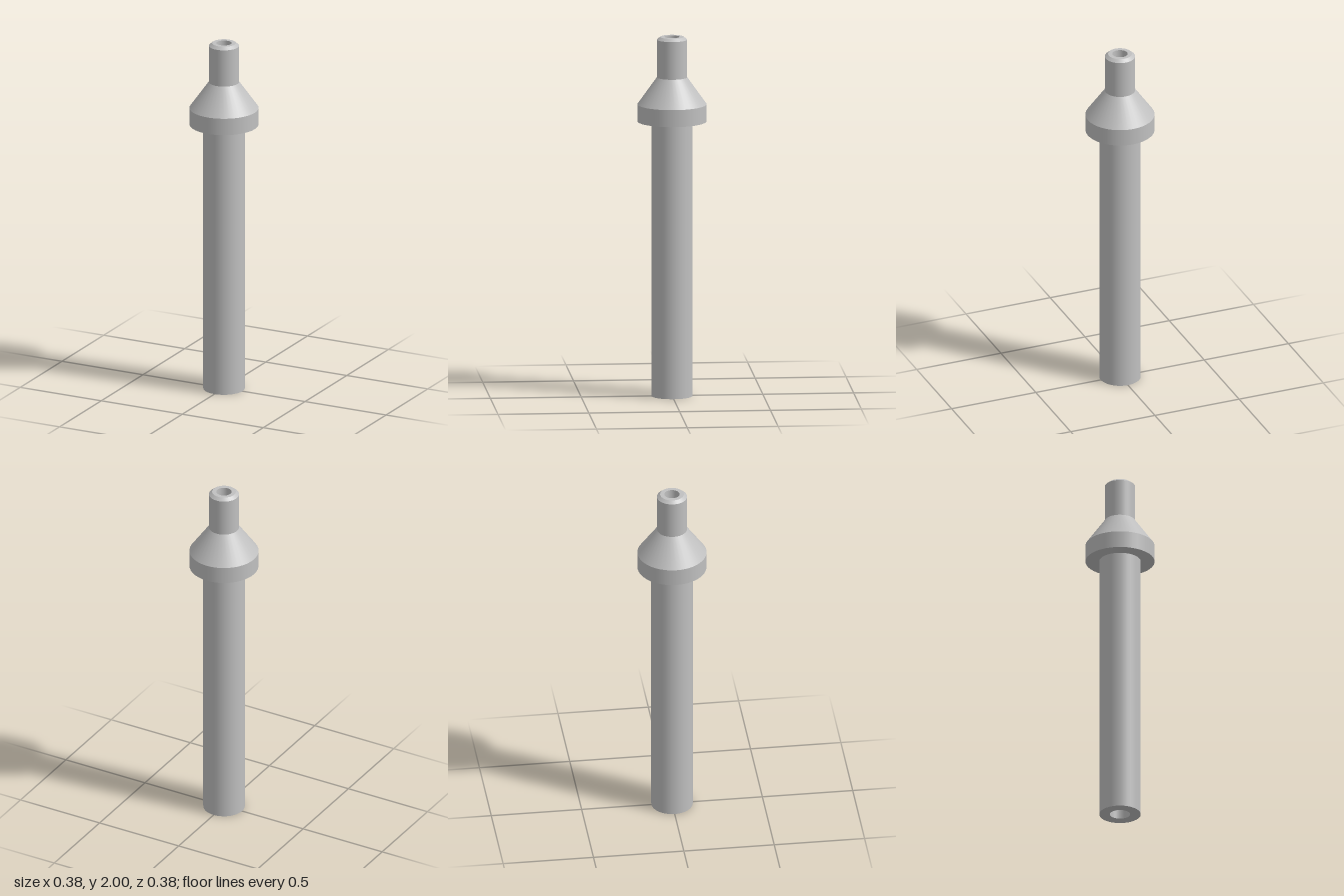
import * as THREE from 'three';
import { mergeGeometries } from 'three/addons/utils/BufferGeometryUtils.js';

const SEGMENTS = 40;

// Turned surface with crisp edges: each pair of profile points is its own band.
function turned(profile) {
  const bands = [];
  for (let i = 0; i < profile.length - 1; i++) {
    const ends = [profile[i], profile[i + 1]].map(([r, y]) => new THREE.Vector2(r, y));
    bands.push(new THREE.LatheGeometry(ends, SEGMENTS));
  }
  return mergeGeometries(bands);
}

export function createModel() {
  const group = new THREE.Group();
  group.name = 'hollowNozzle';

  const metal = new THREE.MeshStandardMaterial({ color: 0xc0c0c0 });
  metal.name = 'grey metal';

  const parts = {
    // long lower tube with its annular end face
    tube: [[0.056, 0], [0.114, 0], [0.114, 1.53]],
    // flange with flat underside and conical shoulder
    collar: [[0.114, 1.53], [0.19, 1.53], [0.19, 1.625], [0.083, 1.775]],
    // narrow tip with chamfered rim
    tip: [[0.083, 1.775], [0.083, 1.985], [0.065, 2], [0.042, 2]],
    // through hole, stepping down to the narrower tip
    bore: [[0.042, 2], [0.042, 1.625], [0.056, 1.61], [0.056, 0]],
  };

  for (const [name, profile] of Object.entries(parts)) {
    const mesh = new THREE.Mesh(turned(profile), metal);
    mesh.name = name;
    group.add(mesh);
  }
  return group;
}
